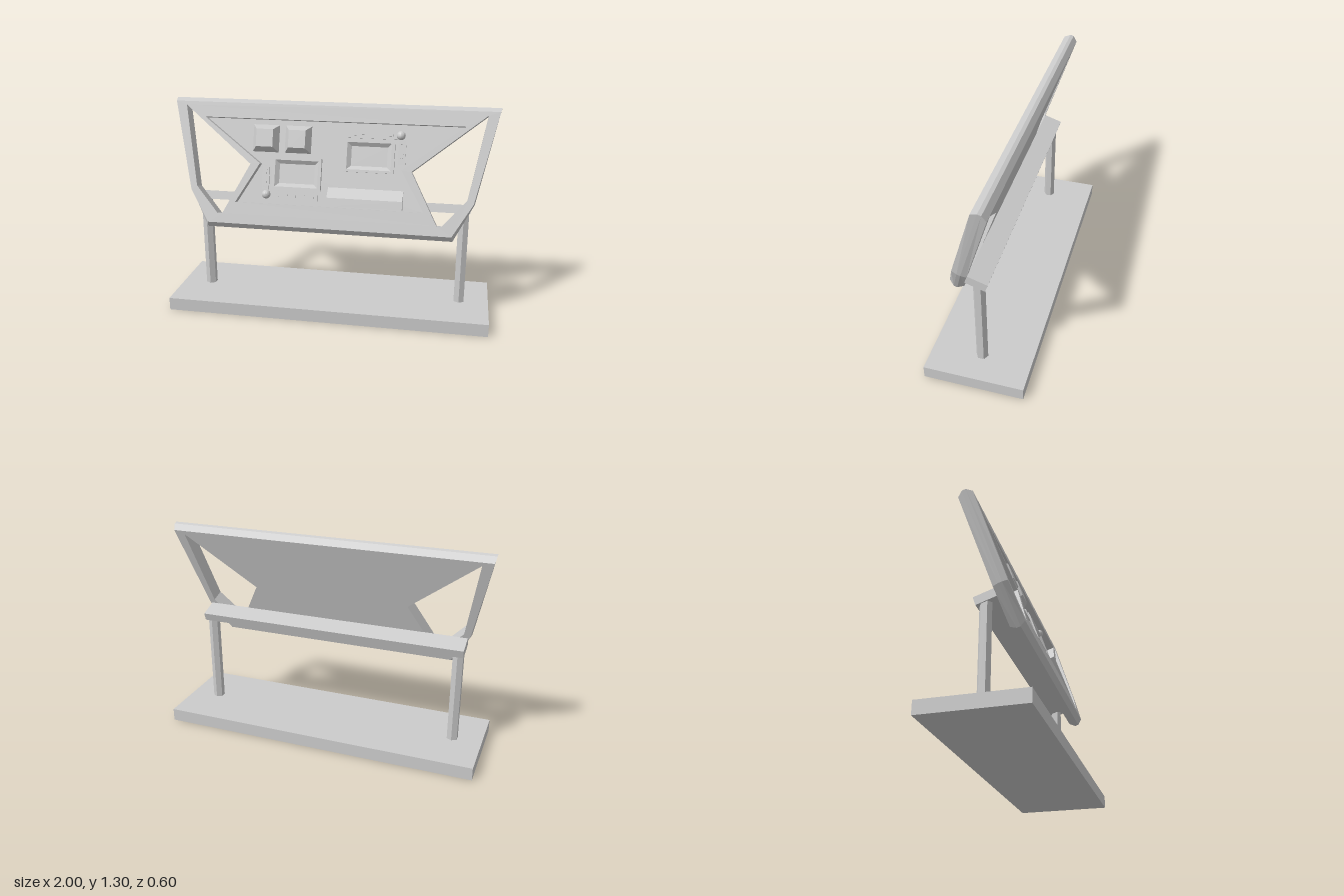
import * as THREE from 'three';
import { mergeGeometries } from 'three/addons/utils/BufferGeometryUtils.js';

const material = new THREE.MeshStandardMaterial({ color: 0xcccccc, flatShading: true });

function addMesh(parent, name, geometry, x = 0, y = 0, z = 0) {
  const mesh = new THREE.Mesh(geometry, material);
  mesh.name = name;
  mesh.position.set(x, y, z);
  parent.add(mesh);
  return mesh;
}

const toVectors = (pts) => pts.map(([x, y]) => new THREE.Vector2(x, y));
const mirrored = (pts) => pts.map(([x, y]) => [-x, y]).reverse();
const rect = (w, h, cy = 0) => [[-w / 2, cy - h / 2], [w / 2, cy - h / 2], [w / 2, cy + h / 2], [-w / 2, cy + h / 2]];

// Flat polygon with holes at height z
function face(pts, holes, z) {
  const shape = new THREE.Shape(toVectors(pts));
  holes.forEach((h) => shape.holes.push(new THREE.Path(toVectors(h))));
  return new THREE.ShapeGeometry(shape).toNonIndexed().translate(0, 0, z);
}

// Walls through counter-clockwise rings [points, z], optionally closed by a face on the last ring
function loft(rings, capped) {
  const pos = [], uv = [];
  for (let r = 0; r < rings.length - 1; r++) {
    const [a, za] = rings[r], [b, zb] = rings[r + 1];
    a.forEach((p, i) => {
      const j = (i + 1) % a.length;
      const q = [[...p, za], [...a[j], za], [...b[j], zb], [...b[i], zb]];
      [0, 1, 2, 0, 2, 3].forEach((k) => { pos.push(...q[k]); uv.push(0, 0); });
    });
  }
  const geo = new THREE.BufferGeometry();
  geo.setAttribute('position', new THREE.Float32BufferAttribute(pos, 3));
  geo.setAttribute('uv', new THREE.Float32BufferAttribute(uv, 2));
  geo.computeVertexNormals();
  if (!capped) return geo;
  const [pts, z] = rings[rings.length - 1];
  return mergeGeometries([geo, face(pts, [], z)]);
}

const HALF = 0.044;    // half thickness of the panel
const FLOOR = -0.006;  // height of the sunken control surface

function buildFrame(panel) {
  const outline = (top, mid, bottom, h) =>
    [[-bottom, -h], [bottom, -h], [mid, -0.174], [top, h], [-top, h], [-mid, -0.174]];
  const edge = outline(1, 0.875, 0.757, 0.4);
  const plate = outline(0.993, 0.868, 0.75, 0.373);
  const leftWindow = [[-0.925, 0.35], [-0.832, -0.151], [-0.69, -0.314], [-0.66, -0.314], [-0.495, 0]];
  const windows = [leftWindow, mirrored(leftWindow)];
  const recess = [[-0.58, -0.239], [0.58, -0.239], [0.435, 0.007], [0.8, 0.28], [-0.8, 0.28], [-0.435, 0.007]];

  addMesh(panel, 'panelRim', loft([[plate, -HALF], [edge, -0.011], [edge, 0.011], [plate, HALF]]));
  addMesh(panel, 'panelFront', face(plate, [...windows, recess], HALF));
  // The plate is symmetric, so turning it about y gives the back
  addMesh(panel, 'panelBack', face(plate, windows, HALF).rotateY(Math.PI));
  windows.forEach((w) => addMesh(panel, 'windowWalls', loft([[w, HALF], [w, -HALF]])));
  addMesh(panel, 'controlRecess', loft([[recess, HALF], [recess, FLOOR]], true));
}

// Screen with an L of keypads and a round knob beside it
function buildControlBank(angle) {
  const bank = new THREE.Group();
  bank.name = 'controlBank';
  addMesh(bank, 'screen', loft([
    [rect(0.308, 0.196), 0], [rect(0.308, 0.196), 0.024],
    [rect(0.27, 0.165), 0.024], [rect(0.22, 0.12), 0.004],
  ], true), -0.221, -0.064, 0);
  addMesh(bank, 'knob', new THREE.SphereGeometry(0.027, 16, 12), -0.407, -0.198, 0.012);
  addMesh(bank, 'sideKeypad', new THREE.BoxGeometry(0.046, 0.15, 0.012), -0.417, -0.095, 0.004);
  addMesh(bank, 'lowerKeypad', new THREE.BoxGeometry(0.3, 0.054, 0.012), -0.235, -0.2, 0.004);
  for (let i = 0; i < 5; i++) {
    addMesh(bank, 'sideKey', new THREE.BoxGeometry(i % 2 ? 0.014 : 0.026, 0.012, 0.008), -0.417, -0.15 + i * 0.028, 0.013);
    addMesh(bank, 'lowerKey', new THREE.BoxGeometry(0.034, i % 2 ? 0.012 : 0.022, 0.008), -0.345 + i * 0.055, -0.2, 0.013);
  }
  bank.position.set(0.012, 0.017, FLOOR);
  bank.rotation.z = angle;
  return bank;
}

export function createModel() {
  const model = new THREE.Group();
  model.name = 'controlConsole';

  // Stand
  addMesh(model, 'base', new THREE.BoxGeometry(2, 0.08, 0.6), 0, 0.04, 0);
  for (const side of [-1, 1]) {
    addMesh(model, 'post', new THREE.CylinderGeometry(0.036, 0.036, 0.61, 6), side * 0.817, 0.375, 0);
  }

  // Tilted panel
  const panel = new THREE.Group();
  panel.name = 'panel';
  panel.position.set(0, 0.92, 0.04);
  panel.rotation.x = -Math.PI / 10;
  model.add(panel);
  buildFrame(panel);
  addMesh(panel, 'crossbar', new THREE.BoxGeometry(1.71, 0.052, 0.122), 0, -0.205, -0.104);

  // Two square push buttons
  for (const x of [-0.415, -0.212]) {
    addMesh(panel, 'pushButton', loft([[rect(0.165, 0.168), 0], [rect(0.105, 0.108), 0.05]], true), x, 0.165, FLOOR);
  }

  // Screens and keypads, the second bank turned half round
  panel.add(buildControlBank(0), buildControlBank(Math.PI));

  // Long ledge with a sloping top
  addMesh(panel, 'ledge', loft([[rect(0.46, 0.115), 0], [rect(0.46, 0.051, -0.032), 0.046]], true), 0.22, -0.1745, FLOOR);

  return model;
}
